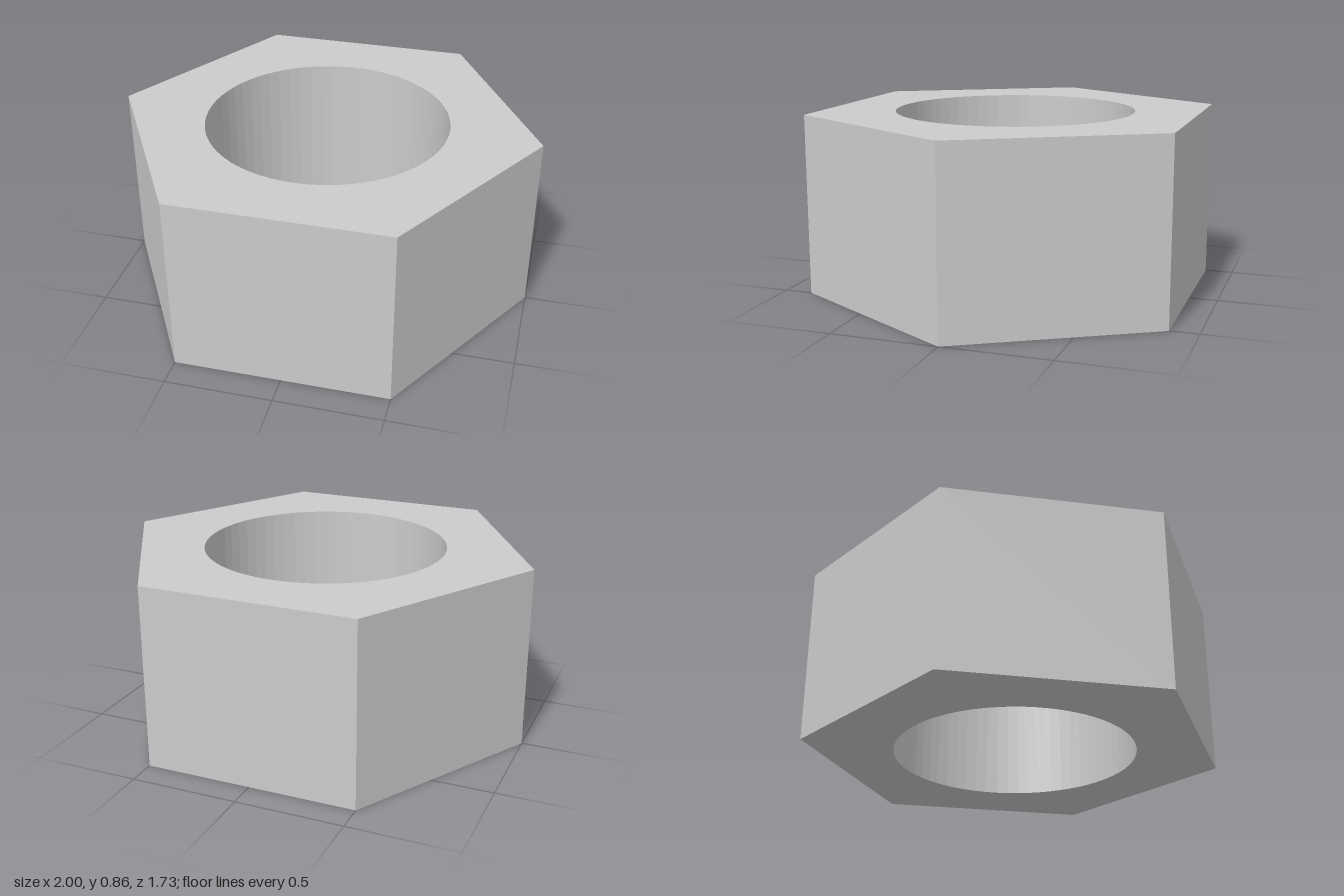
import * as THREE from 'three';

const RADIUS = 1; // centre to corner
const BORE = 0.573;
const HEIGHT = 0.86;

export function createModel() {
  const group = new THREE.Group();
  group.name = 'hexNut';

  // Hexagonal outline with corners on the x axis
  const corners = Array.from({ length: 6 }, (_, i) => {
    const angle = (i * Math.PI) / 3;
    return new THREE.Vector2(RADIUS * Math.cos(angle), RADIUS * Math.sin(angle));
  });
  const outline = new THREE.Shape(corners);

  // Round through-hole
  outline.holes.push(new THREE.Path().absarc(0, 0, BORE, 0, Math.PI * 2, true));

  // Extrude and lay flat so the bore runs along y
  const geometry = new THREE.ExtrudeGeometry(outline, {
    depth: HEIGHT,
    bevelEnabled: false,
    curveSegments: 32,
  });
  geometry.rotateX(-Math.PI / 2);

  const body = new THREE.Mesh(geometry, new THREE.MeshStandardMaterial({ color: 0xcccccc }));
  body.name = 'nutBody';
  group.add(body);
  return group;
}
